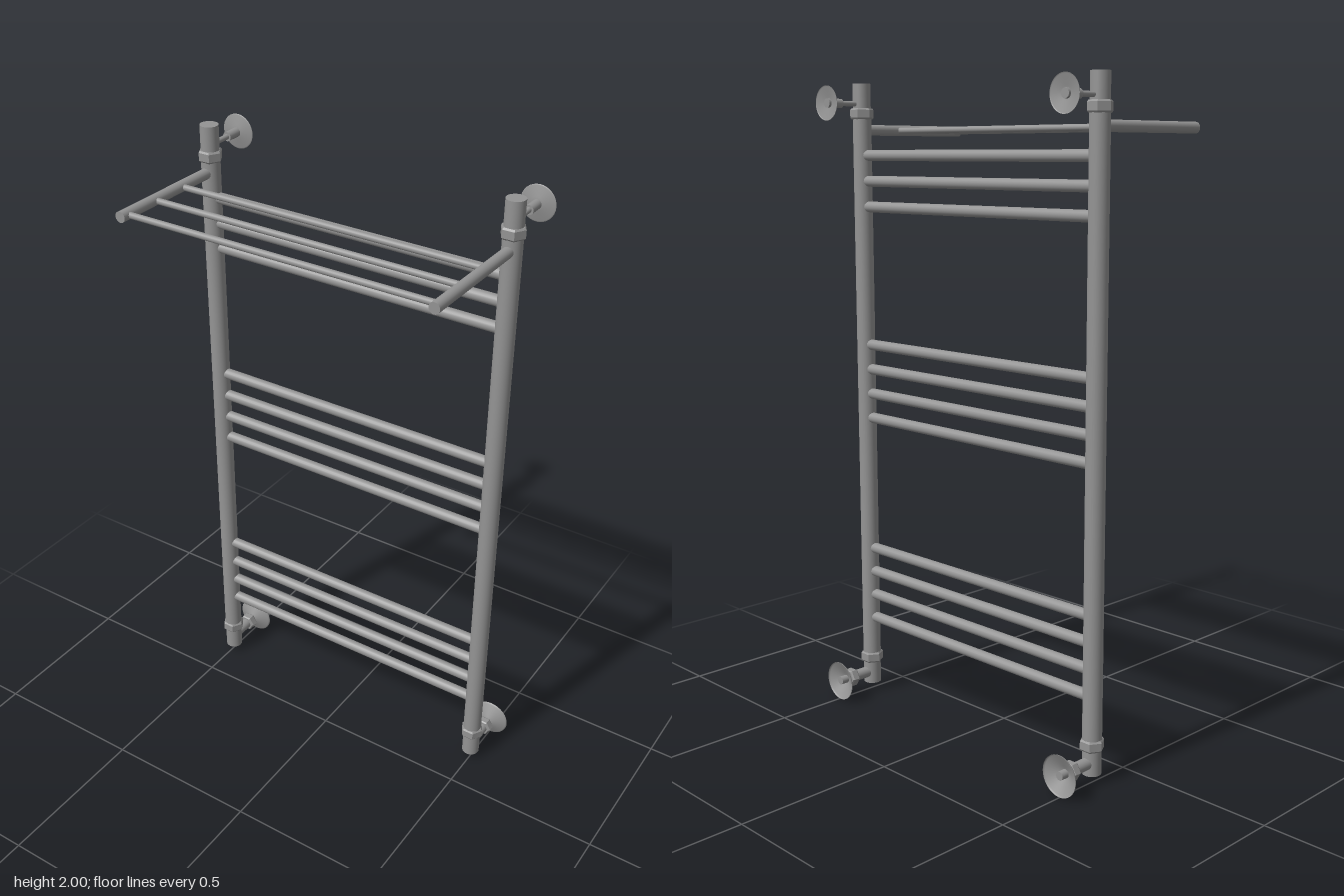
import * as THREE from 'three';
import { toCreasedNormals } from 'three/addons/utils/BufferGeometryUtils.js';

const POST_X = 0.497, POST_Z = -0.136, WALL_Z = -0.275;
const SHELF_Y = 1.858;
const STEEL = 0x949494;

export function createModel() {
  const model = new THREE.Group();
  const metal = new THREE.MeshStandardMaterial({ color: STEEL });
  const shell = new THREE.MeshStandardMaterial({ color: STEEL, side: THREE.DoubleSide });

  function add(name, geometry, material = metal) {
    const mesh = new THREE.Mesh(geometry, material);
    mesh.name = name;
    model.add(mesh);
    return mesh;
  }

  // Cylinders running along each axis between two coordinates
  function alongX(name, r, y, z, halfLength) {
    add(name, new THREE.CylinderGeometry(r, r, 2 * halfLength, 20).rotateZ(Math.PI / 2)).position.set(0, y, z);
  }
  function alongY(name, r, x, y0, y1, z) {
    add(name, new THREE.CylinderGeometry(r, r, y1 - y0, 28)).position.set(x, (y0 + y1) / 2, z);
  }
  function alongZ(name, r, x, y, z0, z1) {
    const g = new THREE.CylinderGeometry(r, r, Math.abs(z1 - z0), 24).rotateX(-Math.PI / 2);
    add(name, g).position.set(x, y, (z0 + z1) / 2);
  }

  // Chamfered hexagon along +y, with two corners on the x axis
  function hexNut(r, length) {
    const c = length * 0.15;
    const profile = [[0.004, 0], [r * 0.88, 0], [r, c], [r, length - c], [r * 0.88, length], [0.004, length]]
      .map(([a, b]) => new THREE.Vector2(a, b));
    return toCreasedNormals(new THREE.LatheGeometry(profile, 6, Math.PI / 2), 0.3);
  }

  // Hollow flared wall rosette, open towards the wall
  function rosette(name, x, y, r, depth) {
    const profile = [[0.012, 0], [0.02, depth * 0.1], [r * 0.94, depth * 0.8], [r, depth * 0.9], [r, depth]]
      .map(([a, b]) => new THREE.Vector2(a, b));
    add(name, new THREE.LatheGeometry(profile, 32).rotateX(-Math.PI / 2), shell).position.set(x, y, WALL_Z + depth);
  }

  for (const [side, x] of [['left', POST_X], ['right', -POST_X]]) {
    // Upright with a nut and an end fitting at top and bottom
    alongY(side + 'Post', 0.029, x, 0.13, 1.895, POST_Z);
    add(side + 'LowerNut', hexNut(0.037, 0.034)).position.set(x, 0.101, POST_Z);
    alongY(side + 'LowerFitting', 0.028, x, 0.028, 0.105, POST_Z);
    add(side + 'UpperNut', hexNut(0.037, 0.034)).position.set(x, 1.891, POST_Z);
    alongY(side + 'UpperFitting', 0.028, x, 1.92, 2.0, POST_Z);

    // Lower water connection: branch pipe, union nut, stem and rosette
    const low = 0.064;
    alongZ(side + 'LowerBranch', 0.018, x, low, POST_Z, -0.215);
    add(side + 'LowerUnionNut', hexNut(0.03, 0.028).rotateX(-Math.PI / 2)).position.set(x, low, -0.212);
    alongZ(side + 'LowerStem', 0.013, x, low, -0.238, -0.273);
    rosette(side + 'LowerRosette', x, low, 0.063, 0.027);

    // Upper wall bracket: thin rod, sleeve and rosette
    const high = 1.938;
    alongZ(side + 'UpperRod', 0.008, x, high, POST_Z, -0.225);
    alongZ(side + 'UpperSleeve', 0.014, x, high, -0.218, -0.273);
    rosette(side + 'UpperRosette', x, high, 0.053, 0.01);

    // Shelf arm reaching forward from the post
    alongZ(side + 'ShelfArm', 0.0165, x, SHELF_Y, POST_Z, 0.275);
  }

  // Three banks of heating rungs
  for (const [topY, count] of [[1.78, 3], [1.18, 4], [0.5, 4]]) {
    for (let i = 0; i < count; i++) alongX('rung', 0.017, topY - i * 0.08, POST_Z, POST_X);
  }

  // Thin rods of the towel shelf
  for (let i = 0; i < 3; i++) alongX('shelfRod', 0.0095, SHELF_Y, 0.008 + i * 0.12, POST_X);

  return model;
}
